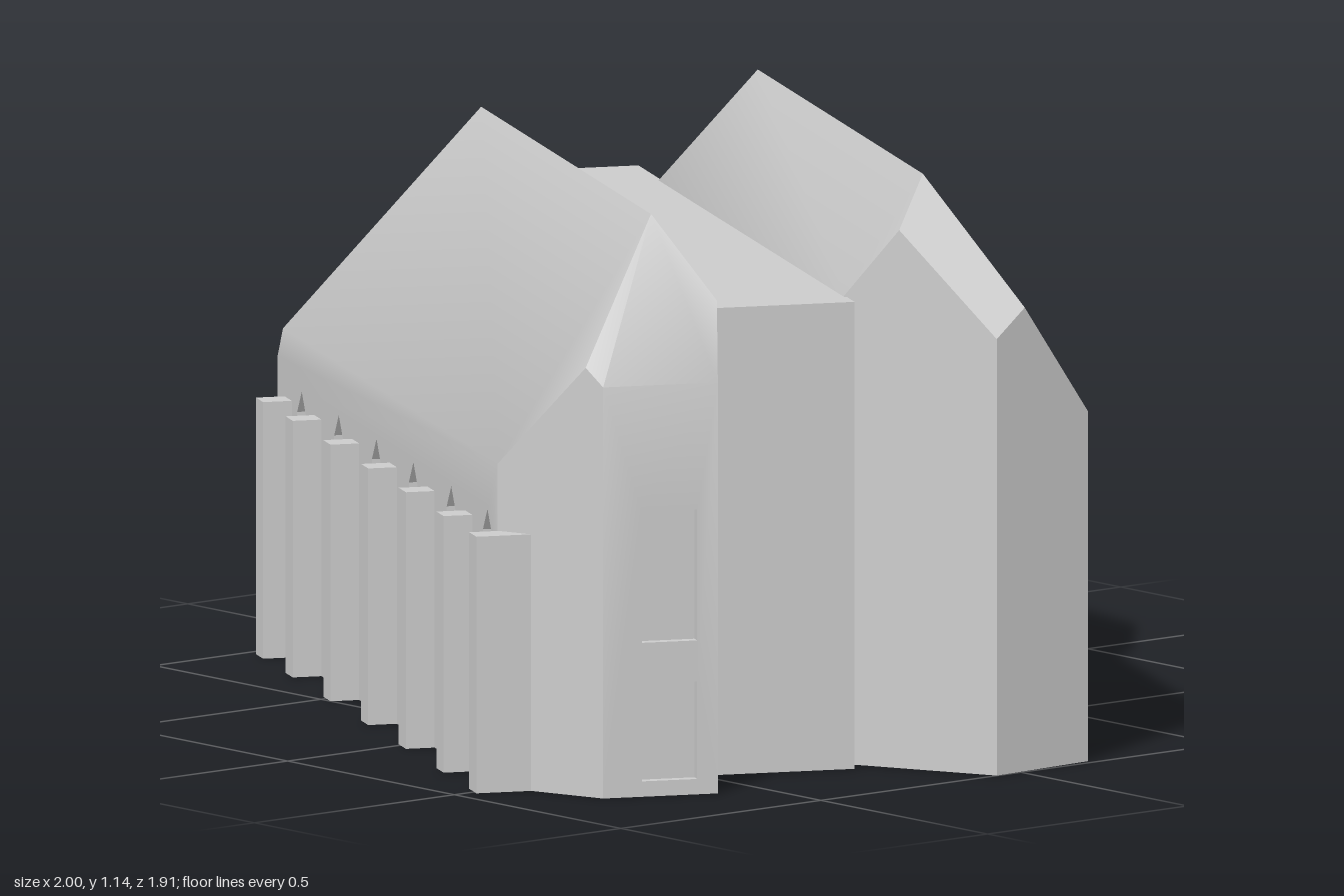
import * as THREE from 'three';
import { toCreasedNormals } from 'three/addons/utils/BufferGeometryUtils.js';
import { ConvexGeometry } from 'three/addons/geometries/ConvexGeometry.js';

const PITCH = 1.51; // roof rise per unit of run
const DEPTH = 0.02; // window recess

const stone = new THREE.MeshStandardMaterial({ color: 0xcccccc });
stone.name = 'pale grey stone';

function positions(geometry) {
  const g = geometry.index ? geometry.toNonIndexed() : geometry;
  return Array.from(g.attributes.position.array);
}

function smoothSolid(list) {
  const g = new THREE.BufferGeometry();
  g.setAttribute('position', new THREE.Float32BufferAttribute(list, 3));
  return toCreasedNormals(g, 0.62);
}

// Convex solid on a footprint of [x, z] points, with a height rule for its top
function hull(footprint, top, extra = []) {
  const pts = [];
  for (const [x, z] of footprint) {
    pts.push(new THREE.Vector3(x, 0, z), new THREE.Vector3(x, top(x, z), z));
  }
  for (const [x, z] of extra) pts.push(new THREE.Vector3(x, top(x, z), z));
  return new ConvexGeometry(pts);
}

// Pointed or square window outlines, counter-clockwise
const lancet = (x, y0, y1) => [
  [x - 0.034, y0], [x + 0.034, y0], [x + 0.034, y1 - 0.045], [x, y1], [x - 0.034, y1 - 0.045],
];
const square = (x0, x1, y0, y1) => [[x0, y0], [x1, y0], [x1, y1], [x0, y1]];

// Wall face with recessed windows, turned about y and set at a distance from the centre
function windowWall(outline, windows, angle, distance) {
  const vec = (list) => list.map(([x, y]) => new THREE.Vector2(x, y));
  const shape = new THREE.Shape(vec(outline));
  for (const w of windows) shape.holes.push(new THREE.Path(vec(w)));
  const list = positions(new THREE.ShapeGeometry(shape));
  for (const w of windows) {
    const pane = new THREE.ShapeGeometry(new THREE.Shape(vec(w)));
    pane.translate(0, 0, -DEPTH);
    for (const n of positions(pane)) list.push(n);
    w.forEach((a, i) => {
      const b = w[(i + 1) % w.length];
      list.push(...a, 0, ...b, 0, ...b, -DEPTH);
      list.push(...a, 0, ...b, -DEPTH, ...a, -DEPTH);
    });
  }
  const g = new THREE.BufferGeometry();
  g.setAttribute('position', new THREE.Float32BufferAttribute(list, 3));
  g.translate(0, 0, distance);
  g.rotateY(angle);
  return { list: positions(g), normal: new THREE.Vector3(Math.sin(angle), 0, Math.cos(angle)) };
}

// Hipped hall whose plain wall faces are swapped for walls with windows
function hall(ridgeY, ridgeZ, ridgeX0, ridgeX1, footprint, hipPoints, walls) {
  const top = (x, z) =>
    ridgeY - PITCH * Math.max(Math.abs(z - ridgeZ), ridgeX0 - x, x - ridgeX1, 0);
  const ridge = [[ridgeX0, ridgeZ], [ridgeX1, ridgeZ]];
  const src = positions(hull(footprint, top, [...hipPoints, ...ridge]));
  const list = [];
  const tri = new THREE.Triangle();
  const n = new THREE.Vector3();
  for (let i = 0; i < src.length; i += 9) {
    tri.a.fromArray(src, i);
    tri.b.fromArray(src, i + 3);
    tri.c.fromArray(src, i + 6);
    tri.getNormal(n);
    if (walls.some((w) => w.normal.dot(n) > 0.995)) continue;
    list.push(...src.slice(i, i + 9));
  }
  for (const w of walls) for (const v of w.list) list.push(v);
  return smoothSolid(list);
}

export function createModel() {
  const model = new THREE.Group();
  model.name = 'church';
  const body = new THREE.Group();
  body.name = 'churchBody';
  body.rotation.y = -0.434; // stands askew on its plot
  model.add(body);

  const add = (name, geometry) => {
    const mesh = new THREE.Mesh(geometry, stone);
    mesh.name = name;
    body.add(mesh);
    return mesh;
  };

  // Front hall: lancets along the nave, two square windows in the end
  const eave = 1.1 - PITCH * 0.311;
  const corner = 1.1 - PITCH * 0.351;
  const naveWall = windowWall(
    [[-0.825, 0], [0.814, 0], [0.814, eave], [-0.785, eave], [-0.825, corner]],
    [-0.645, -0.369, -0.088, 0.187, 0.469, 0.739].map((x) => lancet(x, 0.265, 0.53)),
    0, 0.595);
  const endTop = 1.1 - PITCH * 0.198;
  const endWall = windowWall(
    square(-0.432, -0.204, 0, endTop),
    [square(-0.355, -0.245, 0.03, 0.22), square(-0.355, -0.245, 0.3, 0.555)],
    Math.PI / 2, 0.99);
  add('frontHall', hall(1.1, 0.284, -0.474, 0.792,
    [[-0.825, 0.595], [0.814, 0.595], [0.99, 0.432], [0.99, 0.204], [0.787, 0.153], [-0.825, 0.153]],
    [[-0.785, 0.595], [0.961, 0.459], [0.8955, 0.1807], [-0.605, 0.153]],
    [naveWall, endWall]));

  // Back hall: three lancets in the rear wall
  const backEave = 1.145 - PITCH * 0.307;
  const backCorner = 1.145 - PITCH * 0.353;
  const rearWall = windowWall(
    [[-0.818, 0], [0.846, 0], [0.846, backCorner], [0.8, backEave], [-0.818, backEave]],
    [-0.569, -0.355, -0.129].map((x) => lancet(x, 0.255, 0.54)),
    Math.PI, 0.578);
  add('backHall', hall(1.145, -0.271, -0.493, 0.737,
    [[-0.846, -0.115], [0.728, -0.117], [0.932, -0.366], [0.818, -0.578], [-0.846, -0.578]],
    [[-0.649, -0.115], [0.801, -0.207], [0.897, -0.431], [-0.8, -0.578]],
    [rearWall]));

  // Flat-roofed block between the halls
  const middle = new THREE.BoxGeometry(1.611, 0.91, 0.282);
  middle.translate(-0.0185, 0.455, 0.019);
  add('middleBlock', middle);

  // Low lean-to behind the back hall
  const leanTop = (x, z) => 0.53 + 0.385 * (z + 0.578);
  add('leanTo', smoothSolid(positions(hull(
    [[-0.846, -0.57], [-0.846, -0.66], [-0.382, -0.837], [-0.094, -0.738], [-0.081, -0.57]],
    leanTop))));

  // Buttresses along the nave
  const buttress = new THREE.BoxGeometry(0.054, 0.5, 0.112);
  for (const x of [-0.746, -0.525, -0.244, 0.037, 0.318, 0.599, 0.843]) {
    add('buttress', buttress).position.set(x, 0.25, 0.596);
  }
  return model;
}
